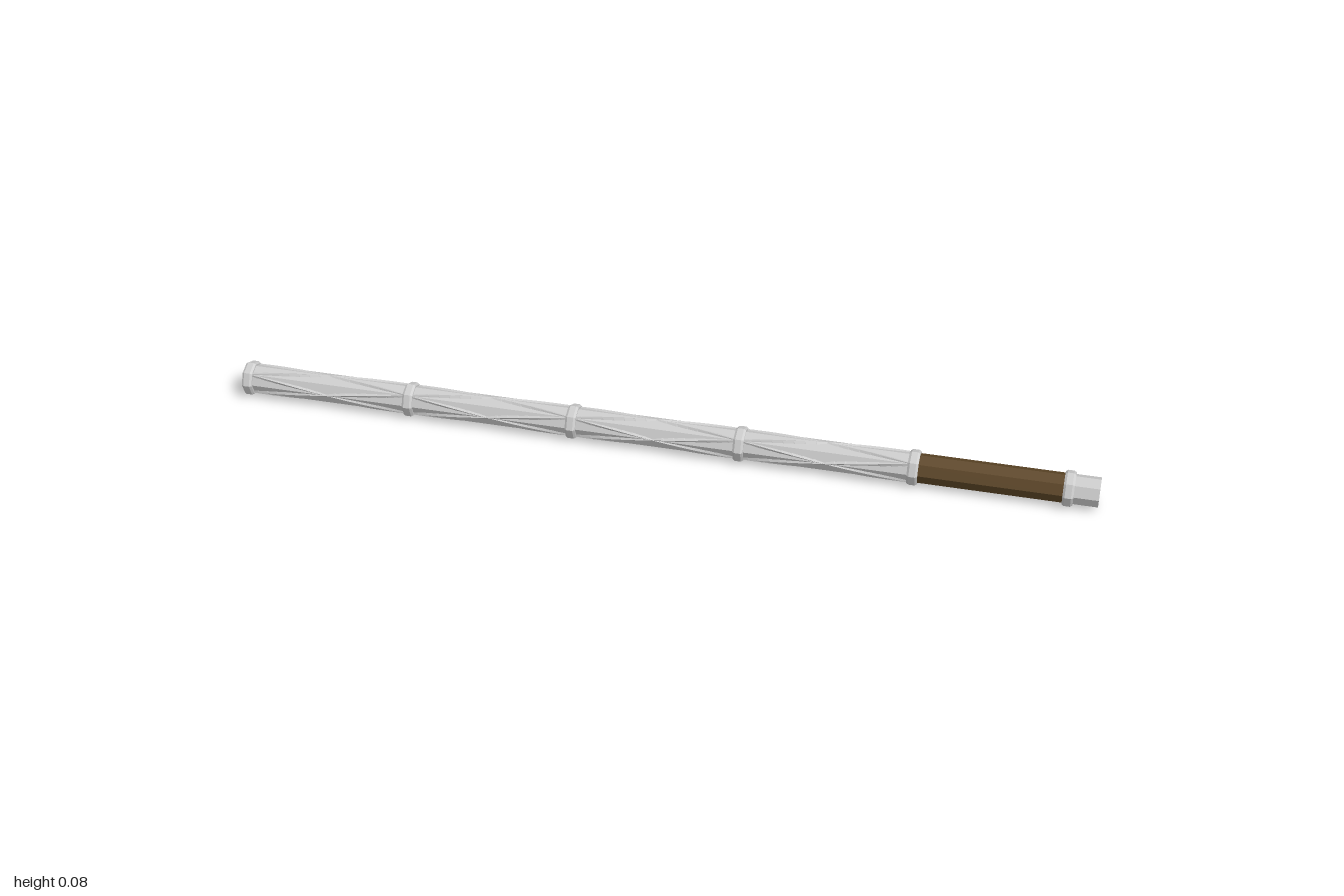
import * as THREE from 'three';

const AXIS_Y = 0.041; // height of the staff's centre line
const CORE_R = 0.034;
const RING_R = 0.041;

const metal = new THREE.MeshStandardMaterial({ color: 0xcccccc, flatShading: true });
const leather = new THREE.MeshStandardMaterial({ color: 0x5c4526, flatShading: true });

// prism along x between x0 and x1, with a corner pointing straight up
function prism(name, x0, x1, radius, sides, material, rows = 1, twist = 0) {
  const geo = new THREE.CylinderGeometry(radius, radius, x1 - x0, sides, rows);
  const pos = geo.attributes.position;
  for (let i = 0; i < pos.count; i++) {
    const a = (pos.getY(i) / (x1 - x0)) * twist;
    const x = pos.getX(i), z = pos.getZ(i);
    pos.setX(i, x * Math.cos(a) - z * Math.sin(a));
    pos.setZ(i, x * Math.sin(a) + z * Math.cos(a));
  }
  geo.rotateZ(-Math.PI / 2);
  geo.translate((x0 + x1) / 2, AXIS_Y, 0);
  geo.computeVertexNormals();
  const mesh = new THREE.Mesh(geo, material);
  mesh.name = name;
  return mesh;
}

// bevelled eight-sided collar
function collar(x) {
  const profile = [
    [CORE_R - 0.004, -0.012], [0.0375, -0.012], [RING_R, -0.007],
    [RING_R, 0.007], [0.0375, 0.012], [CORE_R - 0.004, 0.012],
  ].map(([r, y]) => new THREE.Vector2(r, y));
  const geo = new THREE.LatheGeometry(profile, 8);
  geo.rotateZ(-Math.PI / 2);
  geo.translate(x, AXIS_Y, 0);
  const mesh = new THREE.Mesh(geo, metal);
  mesh.name = 'collar';
  return mesh;
}

export function createModel() {
  const staff = new THREE.Group();
  staff.name = 'staff';
  const collars = [-0.987, -0.59, -0.197, 0.195, 0.59, 0.933];

  // shaft, grip and butt end
  staff.add(prism('shaft', -1, 0.594, CORE_R, 8, metal));
  staff.add(prism('grip', 0.594, 0.933, CORE_R, 8, leather));
  staff.add(prism('buttEnd', 0.933, 1, CORE_R, 8, metal));

  // slim twisted ridges winding both ways through each shaft section
  for (let i = 0; i < 4; i++) {
    for (const dir of [-1, 1]) {
      staff.add(prism('twistedRidge', collars[i], collars[i + 1], 0.0355, 4, metal, 16, dir * Math.PI / 2));
    }
  }

  for (const x of collars) staff.add(collar(x));
  return staff;
}
